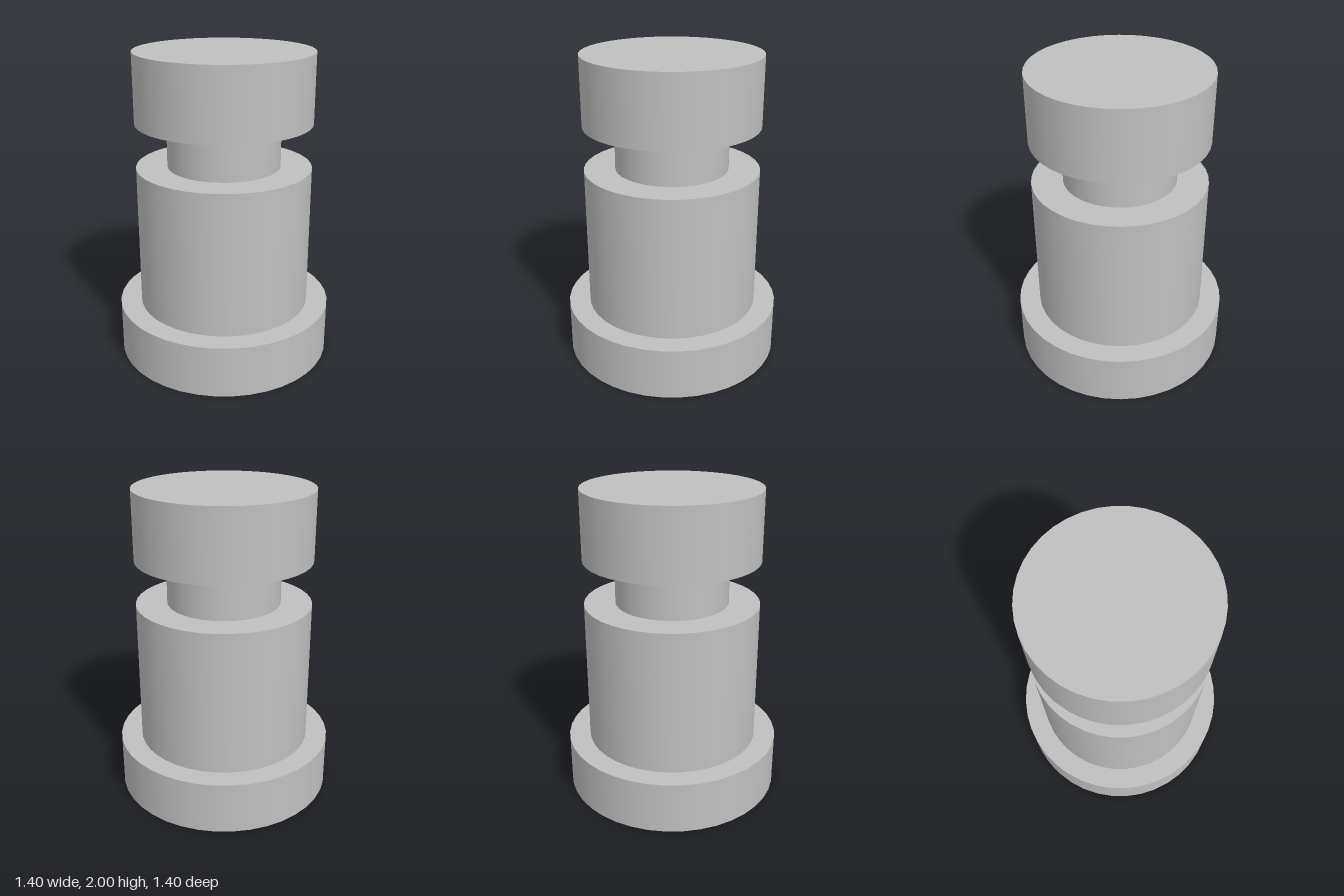
import * as THREE from 'three';

export function createModel() {
  const group = new THREE.Group();
  const grey = new THREE.MeshStandardMaterial({ color: 0xc0c0c0 });
  grey.name = 'plain grey';

  // Adds one upright cylinder spanning bottom to top
  const addDisc = (name, radius, bottom, top) => {
    const mesh = new THREE.Mesh(new THREE.CylinderGeometry(radius, radius, top - bottom, 40), grey);
    mesh.name = name;
    mesh.position.y = (bottom + top) / 2;
    group.add(mesh);
  };

  addDisc('baseFlange', 0.702, 0, 0.34);
  addDisc('body', 0.563, 0.34, 1.27);
  addDisc('neck', 0.363, 1.27, 1.555);
  addDisc('head', 0.563, 1.555, 2);

  return group;
}
